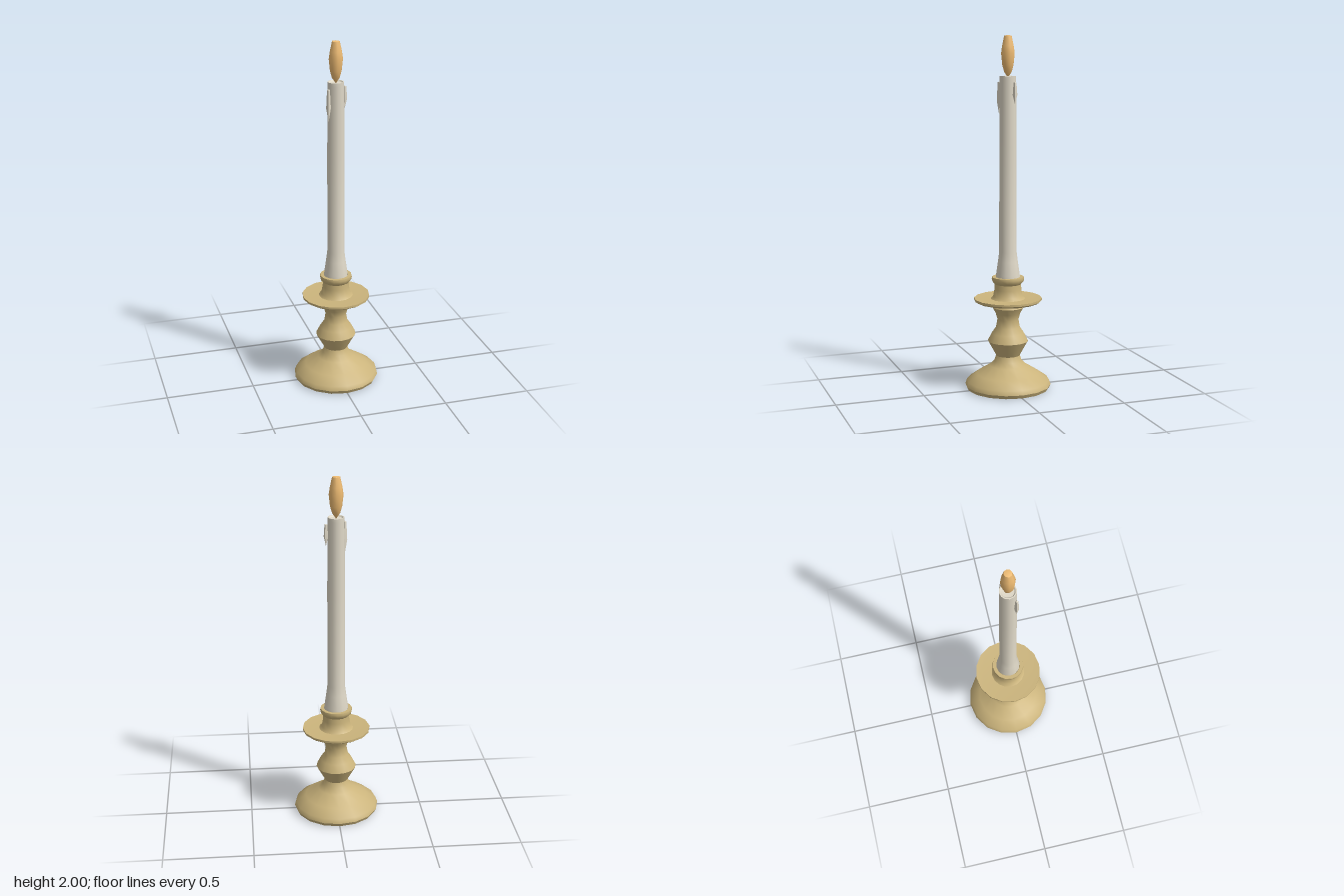
import * as THREE from 'three';
import { toCreasedNormals } from 'three/addons/utils/BufferGeometryUtils.js';

const brass = new THREE.MeshStandardMaterial({ color: 0xcbb47c });
const wax = new THREE.MeshStandardMaterial({ color: 0xe0d9c8 });
const fire = new THREE.MeshStandardMaterial({ color: 0xf0bd74 });

// Turned part from a [radius, height] profile, listed bottom to top
function turned(name, profile, sides, material, crease = 0.7) {
  const points = profile.map(([r, y]) => new THREE.Vector2(r, y));
  const geometry = toCreasedNormals(new THREE.LatheGeometry(points, sides), crease);
  const mesh = new THREE.Mesh(geometry, material);
  mesh.name = name;
  return mesh;
}

// Wax drip: narrow at the top, swelling, then ending in a point
function drip(name, x, z, top, bottom) {
  const h = top - bottom;
  const mesh = turned(name, [
    [0, 0], [0.013, h * 0.42], [0.008, h * 0.97], [0, h],
  ], 4, wax, 0.3);
  mesh.position.set(x, bottom, z);
  mesh.rotation.y = Math.atan2(x, z) + Math.PI / 4;
  return mesh;
}

export function createModel() {
  const model = new THREE.Group();
  model.name = 'candlestick';

  // Flared foot, baluster stem and collar
  model.add(turned('stem', [
    [0, 0], [0.235, 0], [0.245, 0.02], [0.236, 0.045], [0.18, 0.085],
    [0.105, 0.132], [0.078, 0.158], [0.068, 0.19], [0.09, 0.23],
    [0.115, 0.275], [0.092, 0.32], [0.068, 0.355], [0.06, 0.4],
    [0.07, 0.435], [0.09, 0.47], [0.084, 0.482], [0.07, 0.5],
  ], 16, brass));

  // Drip dish
  model.add(turned('dish', [
    [0.06, 0.485], [0.13, 0.49], [0.178, 0.502], [0.193, 0.512], [0.193, 0.524],
    [0.15, 0.521], [0, 0.521],
  ], 16, brass));

  // Candle cup
  model.add(turned('cup', [
    [0.098, 0.521], [0.084, 0.535], [0.076, 0.575], [0.075, 0.605],
    [0.088, 0.618], [0.092, 0.635], [0.09, 0.646], [0.07, 0.646], [0.06, 0.62],
  ], 16, brass));

  // Candle with a flared base
  model.add(turned('candle', [
    [0.07, 0.63], [0.068, 0.66], [0.057, 0.735], [0.05, 0.79], [0.049, 1.39],
    [0.046, 1.755], [0.046, 1.775], [0.04, 1.775], [0.034, 1.768], [0, 1.765],
  ], 12, wax));

  // Wax drips
  model.add(drip('longDrip', -0.051, 0.034, 1.745, 1.56));
  model.add(drip('shortDrip', 0.057, -0.021, 1.745, 1.62));

  // Flame
  model.add(turned('flame', [
    [0, 1.765], [0.022, 1.797], [0.033, 1.835], [0.04, 1.9],
    [0.034, 1.94], [0.022, 1.995], [0, 2],
  ], 8, fire, 0.85));

  return model;
}
